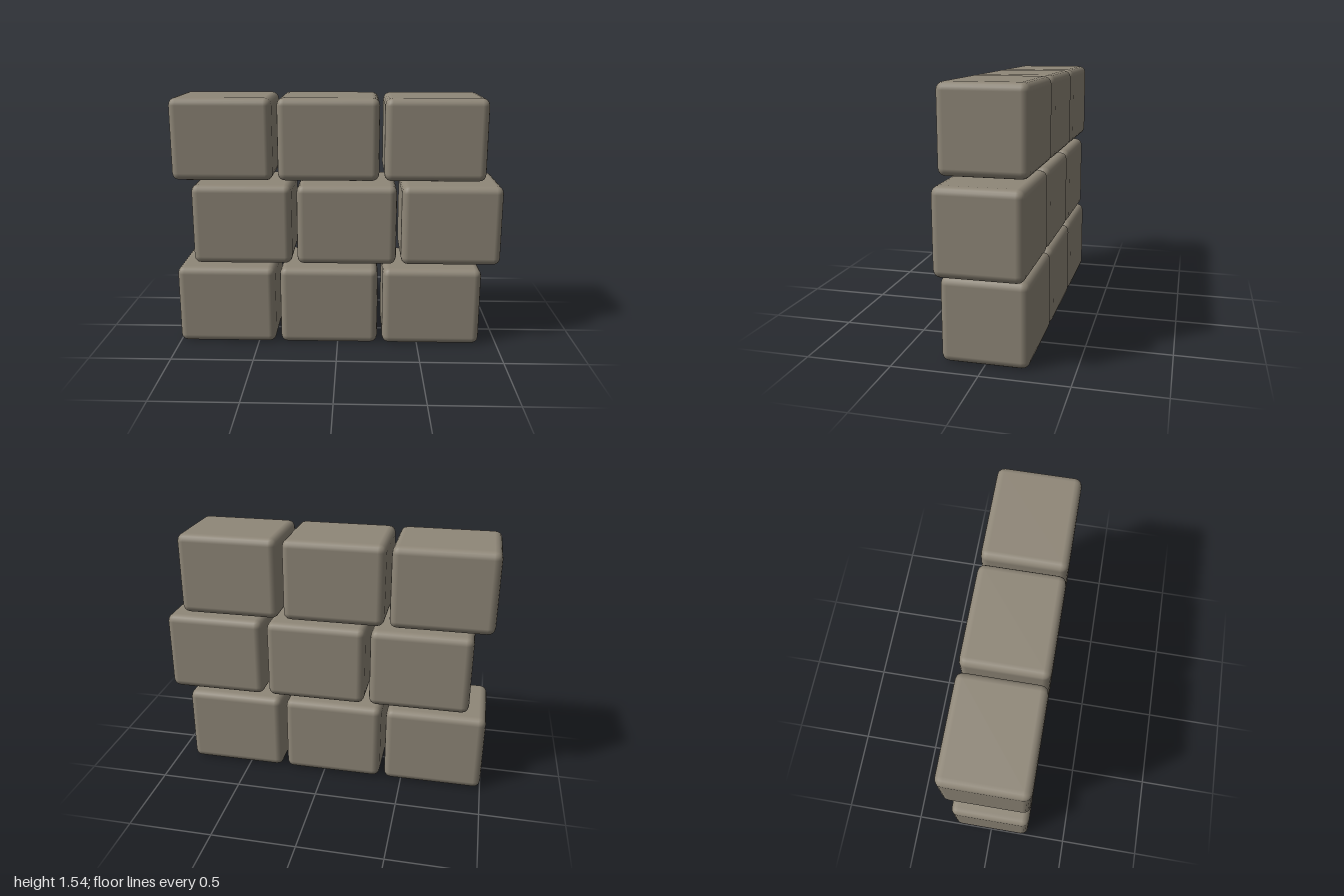
import * as THREE from 'three';
import { RoundedBoxGeometry } from 'three/addons/geometries/RoundedBoxGeometry.js';

const WIDTH = 0.61, HEIGHT = 0.495, DEPTH = 0.5, BEVEL = 0.045;
const PITCH_X = 0.64, PITCH_Y = 0.522, STAGGER = 0.11;

export function createModel() {
  const wall = new THREE.Group();
  wall.name = 'stoneWall';
  const stone = new THREE.MeshStandardMaterial({ color: 0x8f8778 });
  const block = new RoundedBoxGeometry(WIDTH, HEIGHT, DEPTH, 2, BEVEL);

  // Three courses of blocks, the middle one shifted sideways
  for (let row = 0; row < 3; row++) {
    const course = new THREE.Group();
    course.name = `course${row + 1}`;
    course.position.set(row % 2 ? STAGGER / 2 : -STAGGER / 2, HEIGHT / 2 + row * PITCH_Y, 0);
    for (let col = 0; col < 3; col++) {
      const mesh = new THREE.Mesh(block, stone);
      mesh.name = `block${row + 1}_${col + 1}`;
      mesh.position.x = (col - 1) * PITCH_X;
      course.add(mesh);
    }
    wall.add(course);
  }
  return wall;
}
